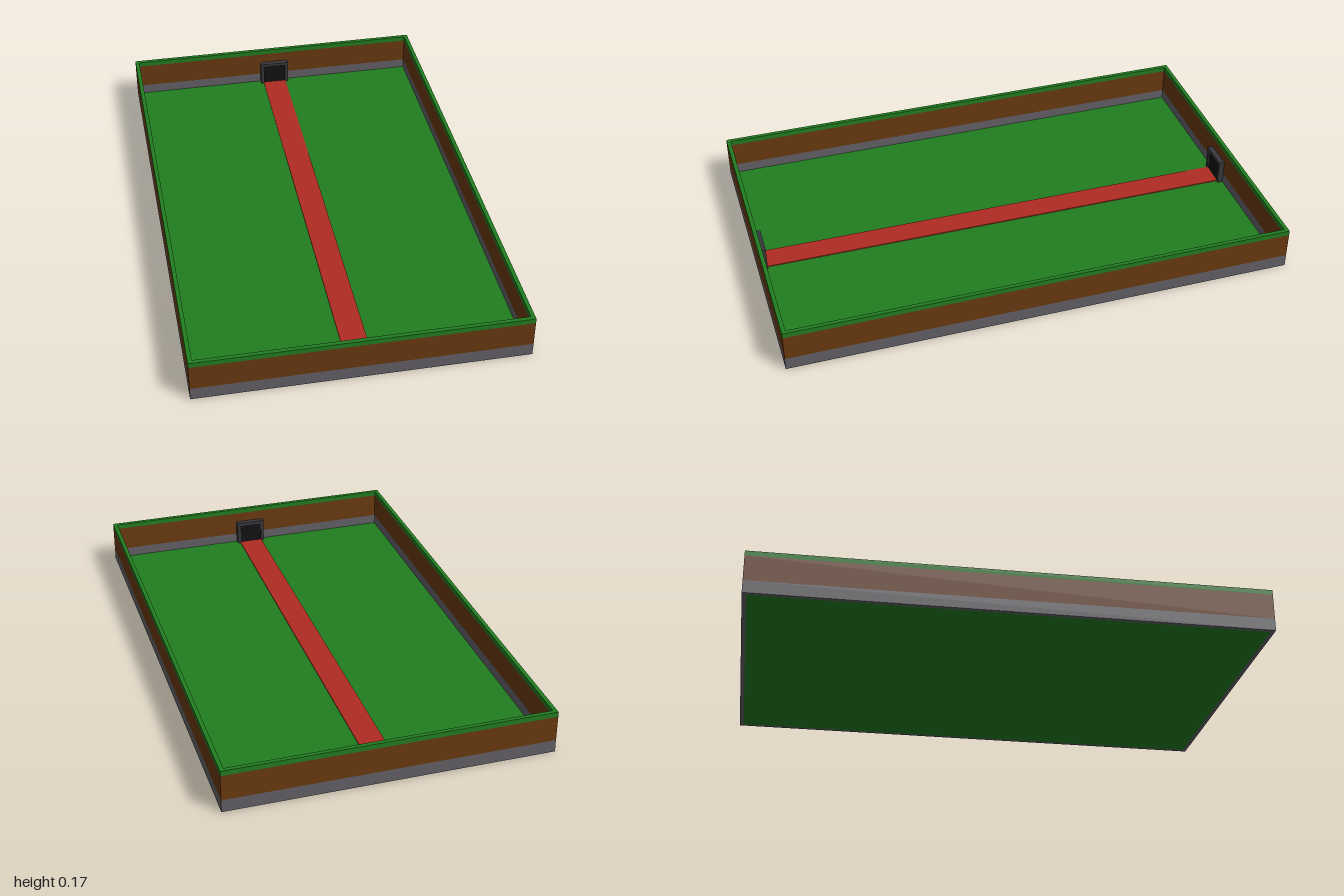
import * as THREE from 'three';

const W = 1.26, L = 2, T = 0.016;
const material = (color) => new THREE.MeshStandardMaterial({ color });
const green = material(0x217d20), brown = material(0x6a3a11), grey = material(0x636167);
const red = material(0xb02c22), frameMat = material(0x38383c), panelMat = material(0x121214);

function box(name, mat, w, h, d, x, y, z) {
  const mesh = new THREE.Mesh(new THREE.BoxGeometry(w, h, d), mat);
  mesh.name = name;
  mesh.position.set(x, y + h / 2, z); // y is the underside
  return mesh;
}

// Rectangular ring of wall between two heights
function wallRing(name, mat, y0, y1) {
  const shape = new THREE.Shape([[-1, -1], [1, -1], [1, 1], [-1, 1]]
    .map(([x, y]) => new THREE.Vector2(x * W / 2, y * L / 2)));
  shape.holes.push(new THREE.Path([[-1, -1], [-1, 1], [1, 1], [1, -1]]
    .map(([x, y]) => new THREE.Vector2(x * (W / 2 - T), y * (L / 2 - T)))));
  const geo = new THREE.ExtrudeGeometry(shape, { depth: y1 - y0, bevelEnabled: false });
  geo.rotateX(-Math.PI / 2).translate(0, y0, 0);
  const mesh = new THREE.Mesh(geo, mat);
  mesh.name = name;
  return mesh;
}

// Door: frame posts, lintel and recessed dark panel, facing +z
function door(name) {
  const g = new THREE.Group();
  g.name = name;
  const w = 0.124, h = 0.1, d = 0.022, b = 0.014;
  for (const s of [-1, 1]) {
    g.add(box('doorPost', frameMat, b, h - b, d, s * (w - b) / 2, 0, d / 2));
  }
  g.add(box('doorLintel', frameMat, w, b, d, 0, h - b, d / 2));
  g.add(box('doorPanel', panelMat, w - 2 * b, h - b, d * 0.7, 0, 0, d * 0.35));
  return g;
}

export function createModel() {
  const model = new THREE.Group();
  model.name = 'walledCourt';

  // Lawn and central carpet
  model.add(box('floor', green, W - 2 * T, 0.01, L - 2 * T, 0, 0, 0));
  model.add(box('carpet', red, 0.1, 0.004, 1.93, 0, 0.01, 0));

  // Layered perimeter wall
  model.add(wallRing('wallBase', grey, 0, 0.05));
  model.add(wallRing('wallBody', brown, 0.05, 0.152));
  model.add(wallRing('wallCap', green, 0.152, 0.172));

  // A door at each end, facing inward
  const backDoor = door('backDoor');
  backDoor.position.set(0, 0.01, -(L / 2 - T));
  const frontDoor = door('frontDoor');
  frontDoor.position.set(0, 0.01, L / 2 - T);
  frontDoor.rotation.y = Math.PI;
  model.add(backDoor, frontDoor);
  return model;
}
